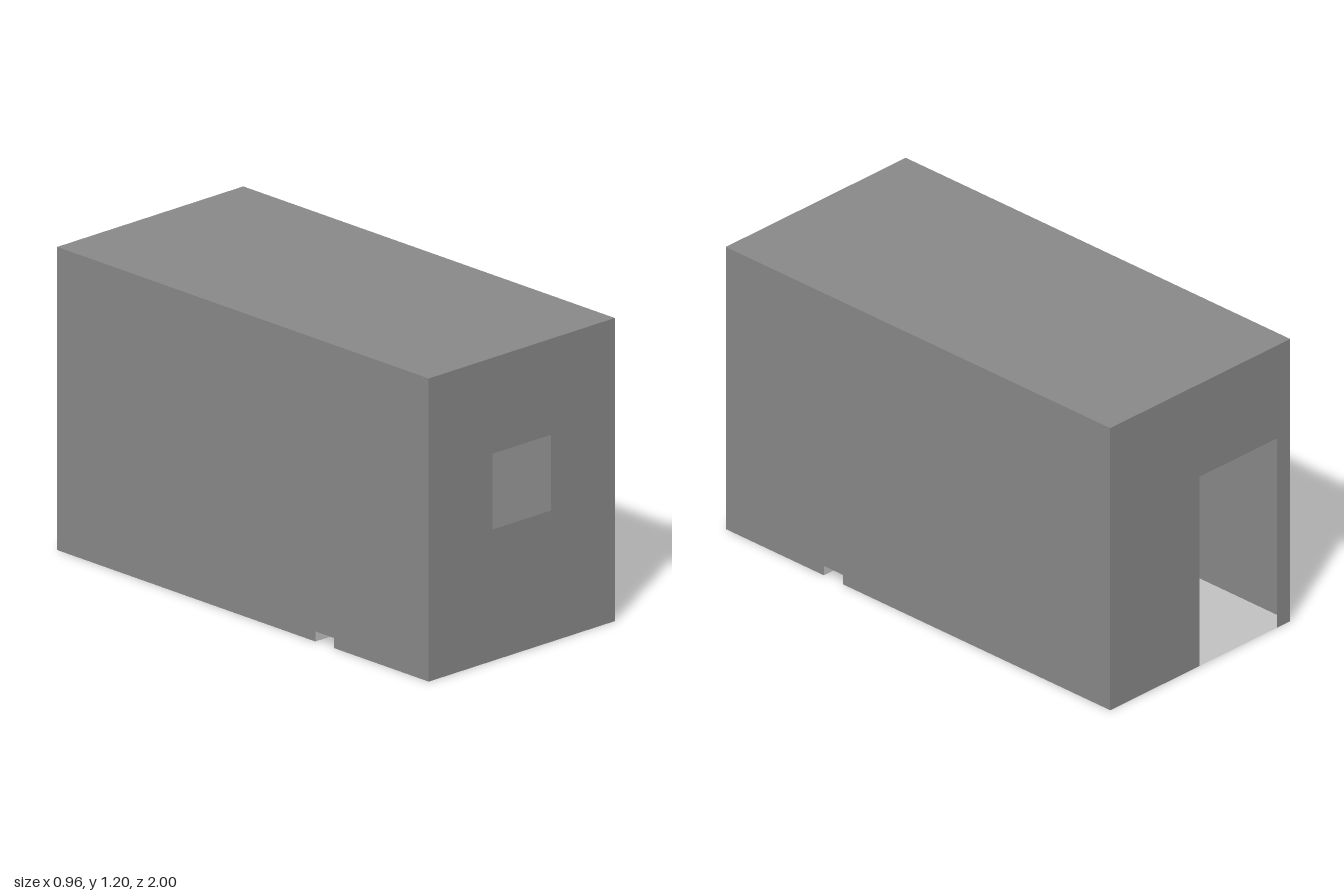
import * as THREE from 'three';

const W = 0.48, L = 1, H = 1.2; // half width, half length, height
const GROOVE = { z0: 0.39, z1: 0.49, h: 0.04 };

export function createModel() {
  const group = new THREE.Group();
  const shell = new THREE.MeshStandardMaterial({ color: 0x888888, side: THREE.DoubleSide });
  shell.name = 'shellGrey';
  const light = new THREE.MeshStandardMaterial({ color: 0xc0c0c0, side: THREE.DoubleSide });
  light.name = 'floorLightGrey';

  const add = (name, geometry, material) => {
    const mesh = new THREE.Mesh(geometry, material);
    mesh.name = name;
    group.add(mesh);
    return mesh;
  };
  const outline = (points) => new THREE.Shape(points.map(([x, y]) => new THREE.Vector2(x, y)));

  // Front wall with a square window
  const front = outline([[-W, 0], [W, 0], [W, H], [-W, H]]);
  front.holes.push(new THREE.Path([[-0.15, 0.52], [-0.15, 0.82], [0.15, 0.82], [0.15, 0.52]]
    .map(([x, y]) => new THREE.Vector2(x, y))));
  add('frontWall', new THREE.ShapeGeometry(front).translate(0, 0, L), shell);

  // Back wall with a doorway reaching the ground
  const back = outline([[-W, 0], [-0.41, 0], [-0.41, 0.805], [0.005, 0.805], [0.005, 0],
    [W, 0], [W, H], [-W, H]]);
  add('backWall', new THREE.ShapeGeometry(back).rotateY(Math.PI).scale(-1, 1, 1)
    .translate(0, 0, -L), shell);

  // Floor line seen from the side, with the drainage groove
  const { z0, z1, h } = GROOVE;
  const profile = [[-L, 0], [z0, 0], [z0, h], [z1, h], [z1, 0], [L, 0]];

  // Side walls, notched where the groove passes through
  const side = outline([...profile, [L, H], [-L, H]]);
  for (const [name, x] of [['leftWall', W], ['rightWall', -W]]) {
    add(name, new THREE.ShapeGeometry(side).rotateY(-Math.PI / 2).translate(x, 0, 0), shell);
  }

  // Roof
  add('roof', new THREE.PlaneGeometry(2 * W, 2 * L).rotateX(-Math.PI / 2).translate(0, H, 0), shell);

  // Floor strips following the groove profile
  for (let i = 0; i < profile.length - 1; i++) {
    const [za, ya] = profile[i], [zb, yb] = profile[i + 1];
    const dz = zb - za, dy = yb - ya;
    const strip = new THREE.PlaneGeometry(2 * W, Math.hypot(dz, dy))
      .rotateX(-Math.PI / 2)
      .rotateX(-Math.atan2(dy, dz))
      .translate(0, (ya + yb) / 2, (za + zb) / 2);
    add(dy === 0 && ya === 0 ? 'floor' : 'floorGroove', strip, light);
  }
  return group;
}
